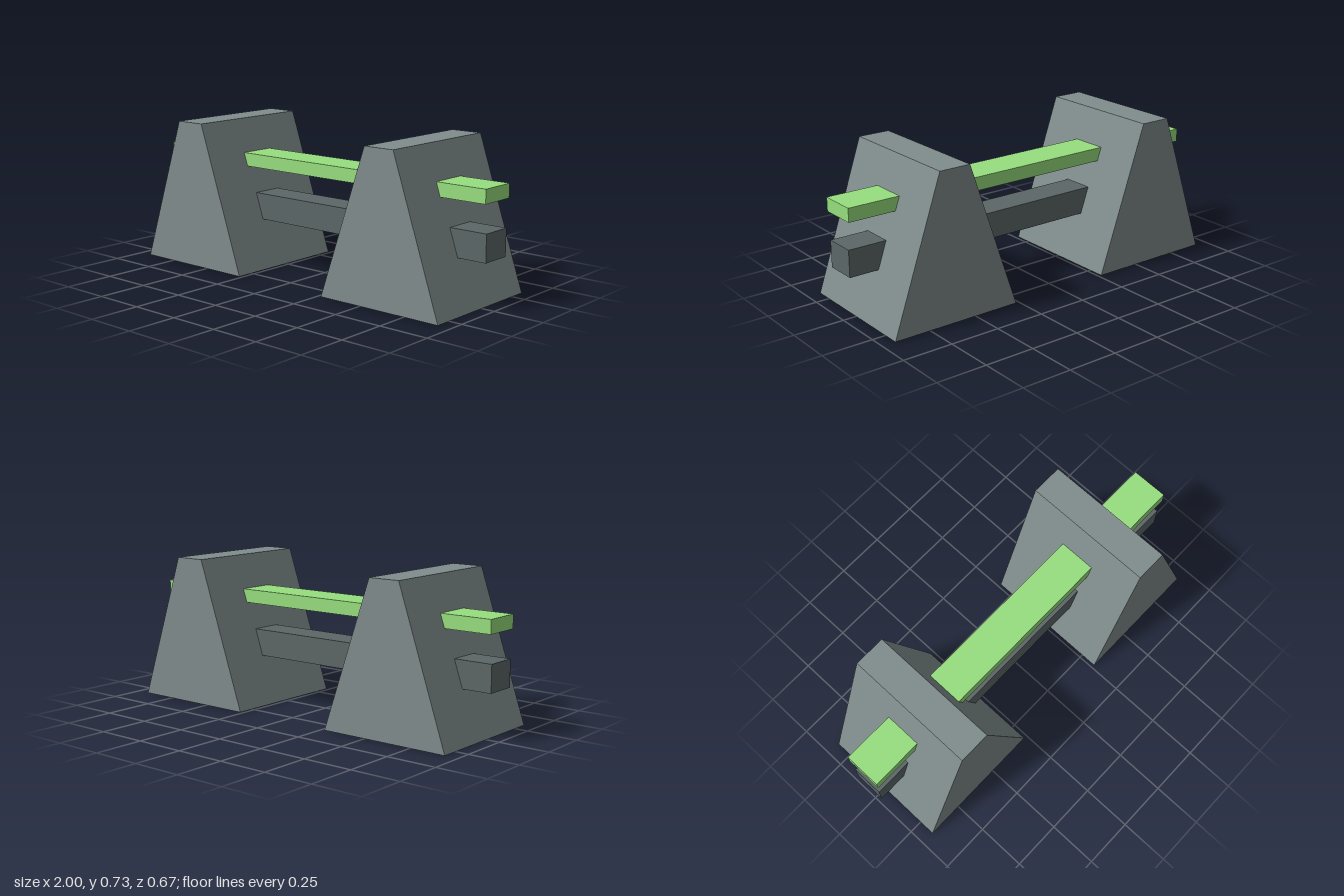
import * as THREE from 'three';

const material = (color) => new THREE.MeshStandardMaterial({ color, flatShading: true });

export function createModel() {
  const model = new THREE.Group();
  const stone = material(0x808c8c);
  const darkStone = material(0x5d6767);
  const green = material(0x97df7e);

  // Tapered end supports, extruded from a trapezoid
  const height = 0.733, depth = 0.666, baseHalf = 0.333, topHalf = 0.08;
  const profile = new THREE.Shape([
    new THREE.Vector2(-baseHalf, 0),
    new THREE.Vector2(baseHalf, 0),
    new THREE.Vector2(topHalf, height),
    new THREE.Vector2(-topHalf, height),
  ]);
  const supportGeometry = new THREE.ExtrudeGeometry(profile, { depth, bevelEnabled: false });
  supportGeometry.translate(0, 0, -depth / 2);
  for (const [name, x] of [['leftSupport', 0.6], ['rightSupport', -0.6]]) {
    const support = new THREE.Mesh(supportGeometry, stone);
    support.name = name;
    support.position.x = x;
    model.add(support);
  }

  // Long bars passing through both supports
  const addBar = (name, bottom, top, width, mat) => {
    const bar = new THREE.Mesh(new THREE.BoxGeometry(2, top - bottom, width), mat);
    bar.name = name;
    bar.position.y = (bottom + top) / 2;
    model.add(bar);
  };
  addBar('upperRail', 0.5, 0.567, 0.186, green);
  addBar('lowerBeam', 0.235, 0.367, 0.158, darkStone);

  return model;
}
